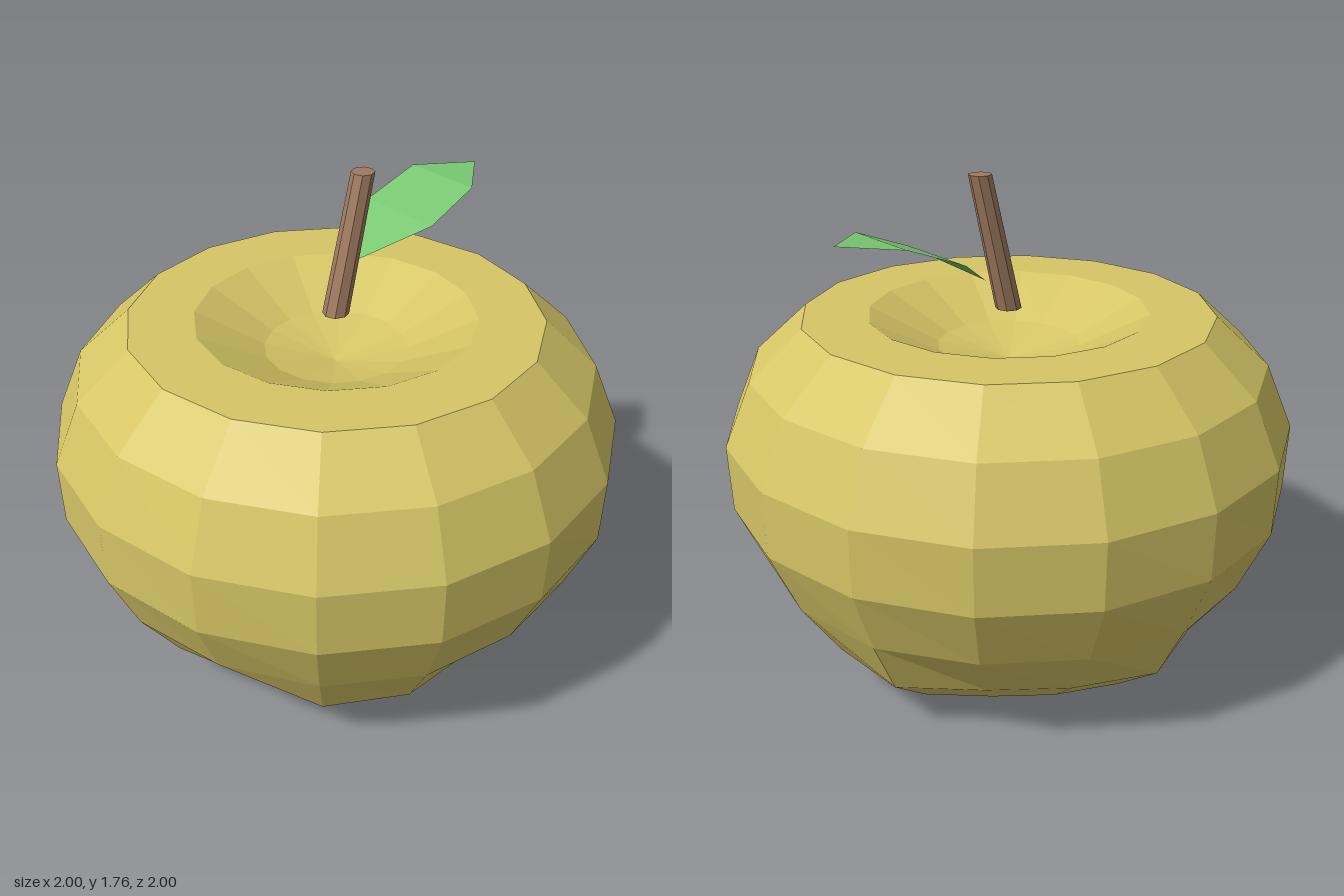
import * as THREE from 'three';

const fruitYellow = new THREE.MeshStandardMaterial({ name: 'fruitYellow', color: 0xd6c666, flatShading: true });
const stemBrown = new THREE.MeshStandardMaterial({ name: 'stemBrown', color: 0xa07b60, flatShading: true });
const leafGreen = new THREE.MeshStandardMaterial({
  name: 'leafGreen', color: 0x76c66f, flatShading: true, side: THREE.DoubleSide,
});

// Faceted mesh: every triangle gets its own normal
function facetedMesh(name, geometry, material) {
  const flat = geometry.index ? geometry.toNonIndexed() : geometry;
  flat.computeVertexNormals();
  const mesh = new THREE.Mesh(flat, material);
  mesh.name = name;
  return mesh;
}

// Sixteen-sided fruit with a dimple on top and five lobes underneath
function createFruit() {
  // radius, height, lobe depth
  const profile = [
    [0, 0.05, 0], [0.2, 0.035, 0.01], [0.4, 0, 0.02], [0.575, 0.05, 0.035],
    [0.745, 0.19, 0.045], [0.89, 0.405, 0.008], [0.993, 0.64, 0.002], [1, 0.875, 0],
    [0.905, 1.1, 0], [0.72, 1.27, 0], [0.49, 1.27, 0], [0.25, 1.15, 0], [0, 1.09, 0],
  ];
  const geometry = new THREE.LatheGeometry(profile.map(([r, y]) => new THREE.Vector2(r, y)), 16);
  const p = geometry.attributes.position;
  for (let i = 0; i < p.count; i++) {
    const [r, y, depth] = profile[i % profile.length];
    const angle = Math.floor(i / profile.length) * Math.PI / 8;
    const lobed = r - depth * Math.cos(5 * angle);
    p.setXYZ(i, lobed * Math.sin(angle), y, lobed * Math.cos(angle));
  }
  return facetedMesh('fruit', geometry, fruitYellow);
}

// Leaning stem with level ends
function createStem() {
  const geometry = new THREE.CylinderGeometry(0.04, 0.046, 0.48, 8);
  geometry.translate(0, 1.52, 0);
  const p = geometry.attributes.position;
  for (let i = 0; i < p.count; i++) p.setX(i, p.getX(i) + 0.25 * (p.getY(i) - 1.28));
  return facetedMesh('stem', geometry, stemBrown);
}

// Thin leaf curving upward and out from the stem
function createLeaf() {
  // x, y, back edge z, front edge z
  const sections = [
    [0.14, 1.415, -0.05, -0.05], [0.34, 1.535, -0.21, 0.11],
    [0.545, 1.615, -0.19, 0.1], [0.715, 1.625, -0.045, -0.045],
  ];
  const points = [];
  const index = [];
  sections.forEach(([x, y, back, front], i) => {
    points.push(x, y, back, x, y, front);
    const a = 2 * i;
    if (i > 0 && i < 3) index.push(a - 2, a - 1 + (i === 1 ? 2 : 0), a);
    if (i === 2) index.push(a - 1, a + 1, a);
    if (i === 3) index.push(a - 2, a - 1, a);
  });
  const geometry = new THREE.BufferGeometry();
  geometry.setAttribute('position', new THREE.Float32BufferAttribute(points, 3));
  geometry.setIndex(index);
  return facetedMesh('leaf', geometry, leafGreen);
}

export function createModel() {
  const model = new THREE.Group();
  model.name = 'apple';
  model.add(createFruit(), createStem(), createLeaf());
  return model;
}
